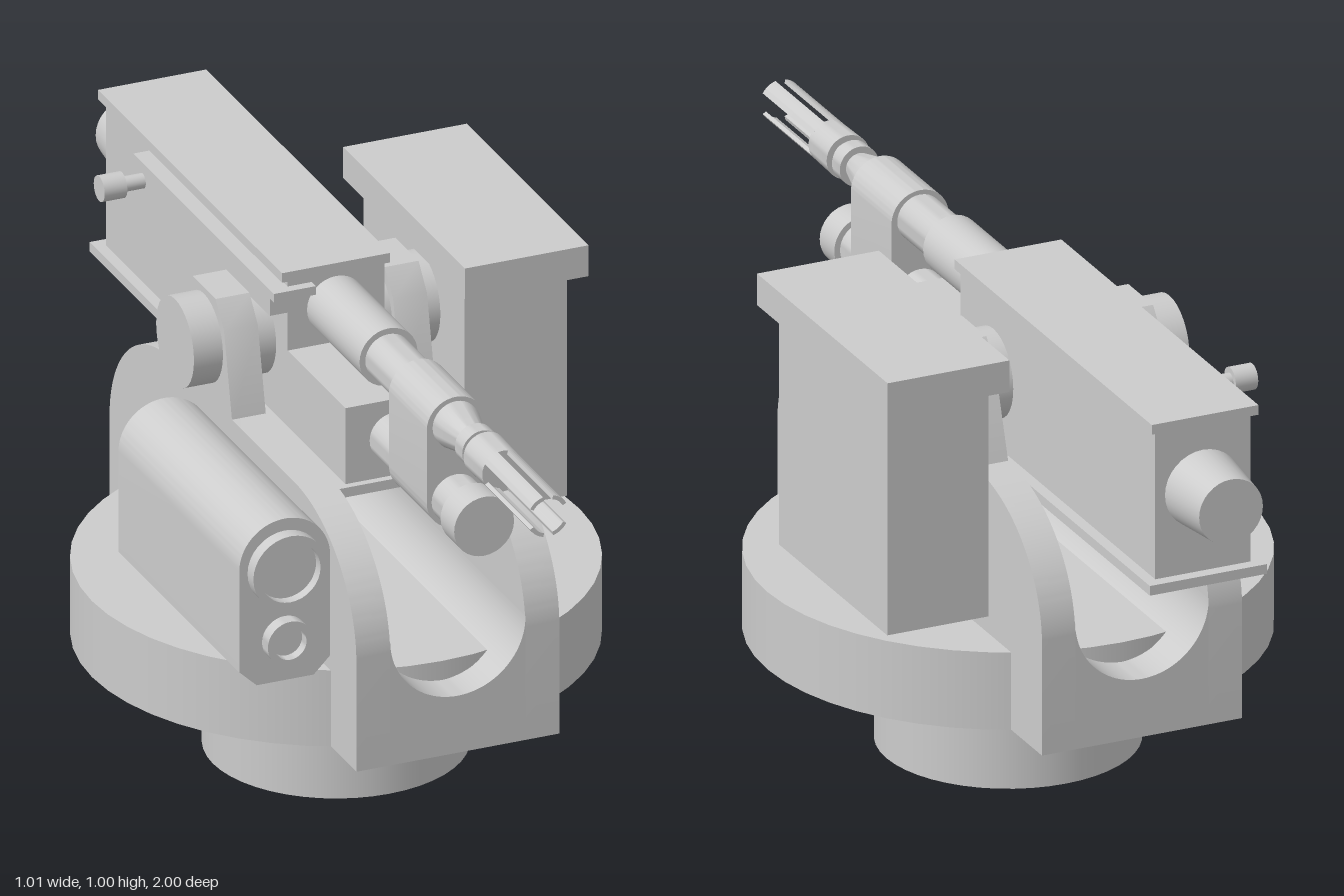
import * as THREE from 'three';
import { toCreasedNormals } from 'three/addons/utils/BufferGeometryUtils.js';

export function createModel() {
  const model = new THREE.Group();
  const material = new THREE.MeshStandardMaterial({ color: 0xcccccc });

  const add = (name, geometry) => {
    const mesh = new THREE.Mesh(geometry, material);
    mesh.name = name;
    model.add(mesh);
    return mesh;
  };
  // Box given by its limits on each axis
  const box = (name, x0, x1, y0, y1, z0, z1) =>
    add(name, new THREE.BoxGeometry(x1 - x0, y1 - y0, z1 - z0))
      .position.set((x0 + x1) / 2, (y0 + y1) / 2, (z0 + z1) / 2);
  // Turned part along z; the profile lists [radius, z] from back to front
  const turned = (name, x, y, profile) => {
    const g = new THREE.LatheGeometry(profile.map(([r, z]) => new THREE.Vector2(r, z)), 32);
    add(name, toCreasedNormals(g.rotateX(Math.PI / 2), 0.6)).position.set(x, y, 0);
  };
  // Cylinder along x
  const axle = (name, x0, x1, y, z, r) =>
    add(name, new THREE.CylinderGeometry(r, r, x1 - x0, 32).rotateZ(Math.PI / 2))
      .position.set((x0 + x1) / 2, y, z);
  const extrude = (shape, depth) => toCreasedNormals(
    new THREE.ExtrudeGeometry(shape, { depth, bevelEnabled: false, curveSegments: 24 }), 0.5);
  // Front outline (x, y) pushed along z
  const alongZ = (name, shape, z0, z1) => add(name, extrude(shape, z1 - z0).translate(0, 0, z0));
  // Side outline (-z, y) pushed along x
  const alongX = (name, shape, x0, x1) =>
    add(name, extrude(shape, x1 - x0).rotateY(Math.PI / 2).translate(x0, 0, 0));

  // Pedestal and turntable
  add('pedestal', new THREE.CylinderGeometry(0.255, 0.255, 0.23, 48)).position.set(0, 0.115, -0.01);
  add('turntable', new THREE.CylinderGeometry(0.505, 0.505, 0.16, 48)).position.set(0, 0.31, -0.01);

  // Cradle: round-shouldered cheeks, a U-shaped trough and trunnion uprights
  const cheek = new THREE.Shape();
  cheek.moveTo(-0.57, 0.23);
  cheek.lineTo(0.605, 0.23);
  cheek.lineTo(0.605, 0.46);
  cheek.absellipse(0.31, 0.46, 0.295, 0.25, 0, Math.PI / 2, false, 0);
  cheek.lineTo(-0.275, 0.71);
  cheek.absellipse(-0.275, 0.46, 0.295, 0.25, Math.PI / 2, Math.PI, false, 0);
  cheek.closePath();

  const upright = new THREE.Shape([
    [0.02, 0.7], [0.31, 0.7], [0.25, 0.88], [0.21, 0.93], [0.1, 0.93], [0.06, 0.88],
  ].map(([u, y]) => new THREE.Vector2(u, y)));

  for (const [side, x0] of [['right', -0.21], ['left', 0.14]]) {
    alongX(side + 'CradleCheek', cheek, x0, x0 + 0.07);
    alongX(side + 'TrunnionUpright', upright, x0, x0 + 0.07);
  }

  const trough = new THREE.Shape();
  trough.moveTo(-0.14, 0.23);
  trough.lineTo(0.14, 0.23);
  trough.lineTo(0.14, 0.49);
  trough.absarc(0, 0.49, 0.14, 0, -Math.PI, true);
  trough.closePath();
  alongZ('cradleTrough', trough, -0.605, 0.57);

  axle('trunnion', -0.27, 0.24, 0.827, -0.155, 0.09);

  // Receiver with cover and bottom plate
  box('receiver', -0.1, 0.1, 0.68, 0.985, -0.875, -0.01);
  box('receiverFront', -0.1, 0.1, 0.68, 0.84, -0.01, 0.265);
  box('receiverCover', -0.112, 0.112, 0.985, 1.005, -0.885, -0.01);
  box('receiverFloor', -0.123, 0.123, 0.66, 0.68, -0.9, 0.28);
  turned('rearBuffer', 0, 0.85, [[0, -1], [0.067, -1], [0.08, -0.87], [0, -0.87]]);

  // Charging rail and handle
  box('chargingRail', -0.137, -0.1, 0.92, 0.975, -0.66, -0.01);
  box('railBracket', -0.137, -0.05, 0.957, 0.975, -0.04, 0.01);
  axle('handleStem', -0.18, -0.137, 0.938, -0.615, 0.015);
  axle('handleKnob', -0.227, -0.18, 0.938, -0.615, 0.026);

  // Barrel, from jacket to flash hider
  turned('barrel', 0, 0.918, [
    [0, -0.02], [0.06, -0.02], [0.06, 0.24], [0.048, 0.24], [0.048, 0.57], [0.028, 0.65],
    [0.041, 0.65], [0.041, 0.685], [0.032, 0.685], [0.032, 0.7], [0.045, 0.7], [0.043, 0.785], [0, 0.785],
  ]);
  // Flash hider prongs, one per quadrant
  for (let i = 0; i < 4; i++) {
    const mirror = i % 2 === 1;
    const base = Math.PI * (i < 2 ? 0 : 1);
    const a = base + (mirror ? Math.PI - 1.33 : 0.52);
    const b = base + (mirror ? Math.PI - 0.52 : 1.33);
    const prong = new THREE.Shape();
    prong.absarc(0, 0, 0.043, a, b, false);
    prong.absarc(0, 0, 0.035, b, a, true);
    prong.closePath();
    alongZ('flashHiderProng', prong, 0.78, 1).position.y = 0.918;
  }

  // Gas tube and the clamp joining it to the barrel
  turned('gasTube', 0, 0.762, [
    [0, 0.25], [0.05, 0.25], [0.05, 0.63], [0.062, 0.63], [0.062, 0.695], [0, 0.695],
  ]);
  const clamp = new THREE.Shape();
  clamp.absarc(0, 0.915, 0.06, 0, Math.PI, false);
  clamp.absarc(0, 0.762, 0.06, Math.PI, Math.PI * 2, false);
  clamp.closePath();
  alongZ('barrelClamp', clamp, 0.38, 0.56);

  // Ammunition box
  box('ammoBox', 0.24, 0.452, 0.455, 0.935, -0.43, 0.05);
  box('ammoBoxLid', 0.219, 0.475, 0.935, 1.0, -0.48, 0.1);

  // Sight pod with two recessed lenses
  const pod = new THREE.Shape();
  pod.moveTo(-0.375, 0.402);
  pod.lineTo(-0.257, 0.402);
  pod.lineTo(-0.223, 0.436);
  pod.lineTo(-0.223, 0.648);
  pod.absarc(-0.317, 0.648, 0.094, 0, Math.PI, false);
  pod.lineTo(-0.411, 0.436);
  pod.closePath();
  alongZ('sightPod', pod, -0.1, 0.475);
  const lens = (name, y, r, inner) => turned(name, -0.317, y,
    [[r, 0.46], [r, 0.503], [inner, 0.503], [inner, 0.482], [0, 0.482]]);
  lens('largeLens', 0.64, 0.077, 0.062);
  lens('smallLens', 0.49, 0.047, 0.033);

  return model;
}
